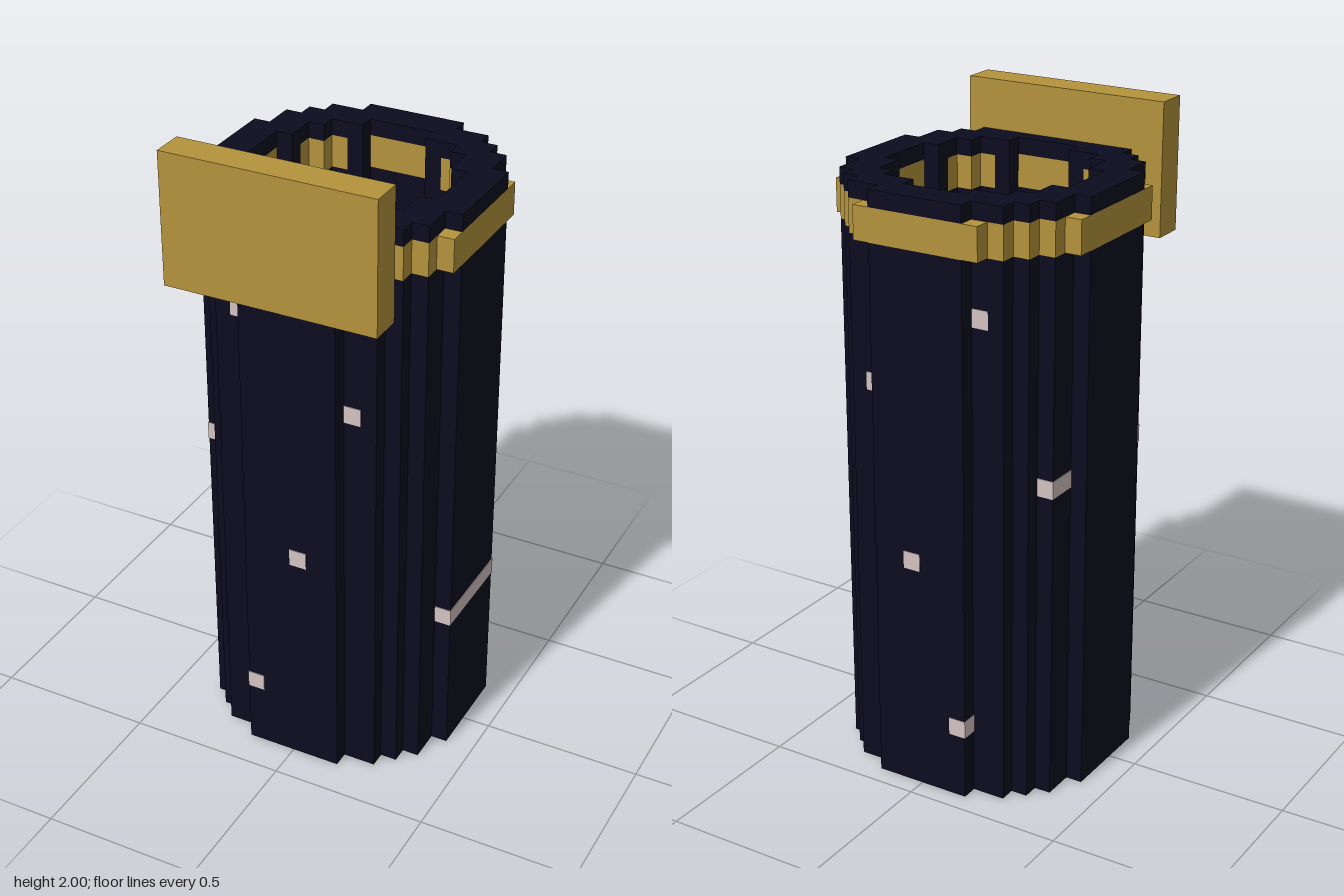
import * as THREE from 'three';

const V = 2 / 39;      // edge length of one block
const Z0 = -0.5;       // tube axis offset, in blocks

const navy = new THREE.MeshStandardMaterial({ name: 'midnight navy', color: 0x0c0c20 });
const gold = new THREE.MeshStandardMaterial({ name: 'antique gold', color: 0xb4933c });
const pale = new THREE.MeshStandardMaterial({ name: 'pale speck', color: 0xd2c2c0 });

// Blocks per half column i whose centres lie within radius r
function columnHeight(i, r) {
  const left = r * r - (i + 0.5) ** 2;
  return left > 0 ? Math.max(0, Math.floor(Math.sqrt(left) + 0.5)) : 0;
}

// Stepped circle outline, counter-clockwise
function steppedOutline(r) {
  let n = 0;
  while (columnHeight(n, r) > 0) n++;
  const pts = [];
  const add = (x, y) => {
    const last = pts[pts.length - 1];
    if (!last || last.x !== x || last.y !== y) pts.push(new THREE.Vector2(x, y));
  };
  for (let i = -n; i < n; i++) {
    const h = columnHeight(i, r);
    add(i, -h);
    add(i + 1, -h);
  }
  for (let i = n - 1; i >= -n; i--) {
    const h = columnHeight(i, r);
    add(i + 1, h);
    add(i, h);
  }
  return pts;
}

function addMesh(parent, name, geometry, material) {
  const mesh = new THREE.Mesh(geometry, material);
  mesh.name = name;
  parent.add(mesh);
  return mesh;
}

// Hollow stepped ring between two layers
function addRing(parent, name, outer, inner, y0, y1, material) {
  const shape = new THREE.Shape(steppedOutline(outer));
  shape.holes.push(new THREE.Path(steppedOutline(inner)));
  const geo = new THREE.ExtrudeGeometry(shape, { depth: y1 - y0, bevelEnabled: false });
  geo.rotateX(-Math.PI / 2).translate(0, y0, Z0).scale(V, V, V);
  addMesh(parent, name, geo, material);
}

// Box from block corner coordinates, optionally grown a little
function addBox(parent, name, [x0, y0, z0], [x1, y1, z1], material, grow = 0) {
  const geo = new THREE.BoxGeometry(x1 - x0 + 2 * grow, y1 - y0 + 2 * grow, z1 - z0 + 2 * grow);
  geo.translate((x0 + x1) / 2, (y0 + y1) / 2, (z0 + z1) / 2 + Z0).scale(V, V, V);
  addMesh(parent, name, geo, material);
}

export function createModel() {
  const model = new THREE.Group();
  model.name = 'tubeWithPlaque';

  // Tube wall below and above the band
  addRing(model, 'tubeWall', 8, 6, 0, 33, navy);
  addRing(model, 'tubeRim', 8, 6, 35, 36, navy);

  // Gold band, slightly proud at the corners, with dark gaps inside
  addRing(model, 'band', 8.3, 6.2, 33, 35, gold);
  const gaps = new THREE.Group();
  gaps.name = 'bandGaps';
  model.add(gaps);
  for (const [a, b] of [[2, 5], [5, 2]]) {
    for (const x of [a, -a - 1]) {
      for (const z of [b, -b - 1]) {
        addBox(gaps, 'bandGap', [x, 33, z], [x + 1, 35, z + 1], navy);
      }
    }
  }

  // Plaque on the front
  addBox(model, 'plaque', [-7, 31, 7], [7 - 1, 39, 9], gold);

  // Pale specks: one column of the wall every fifth layer, stepping round
  const specks = new THREE.Group();
  specks.name = 'specks';
  model.add(specks);
  for (let k = 0; k < 6; k++) {
    const y = 4 + 5 * k;
    const x = ((5 + 10 * k) % 17) - 8;
    const out = columnHeight(x, 8);
    const hole = columnHeight(x, 6);
    const runs = hole > 0 ? [[hole, out], [-out, -hole]] : [[-out, out]];
    for (const [z0, z1] of runs) {
      addBox(specks, 'speck', [x, y, z0], [x + 1, y + 1, z1], pale, 0.04);
    }
  }

  return model;
}
